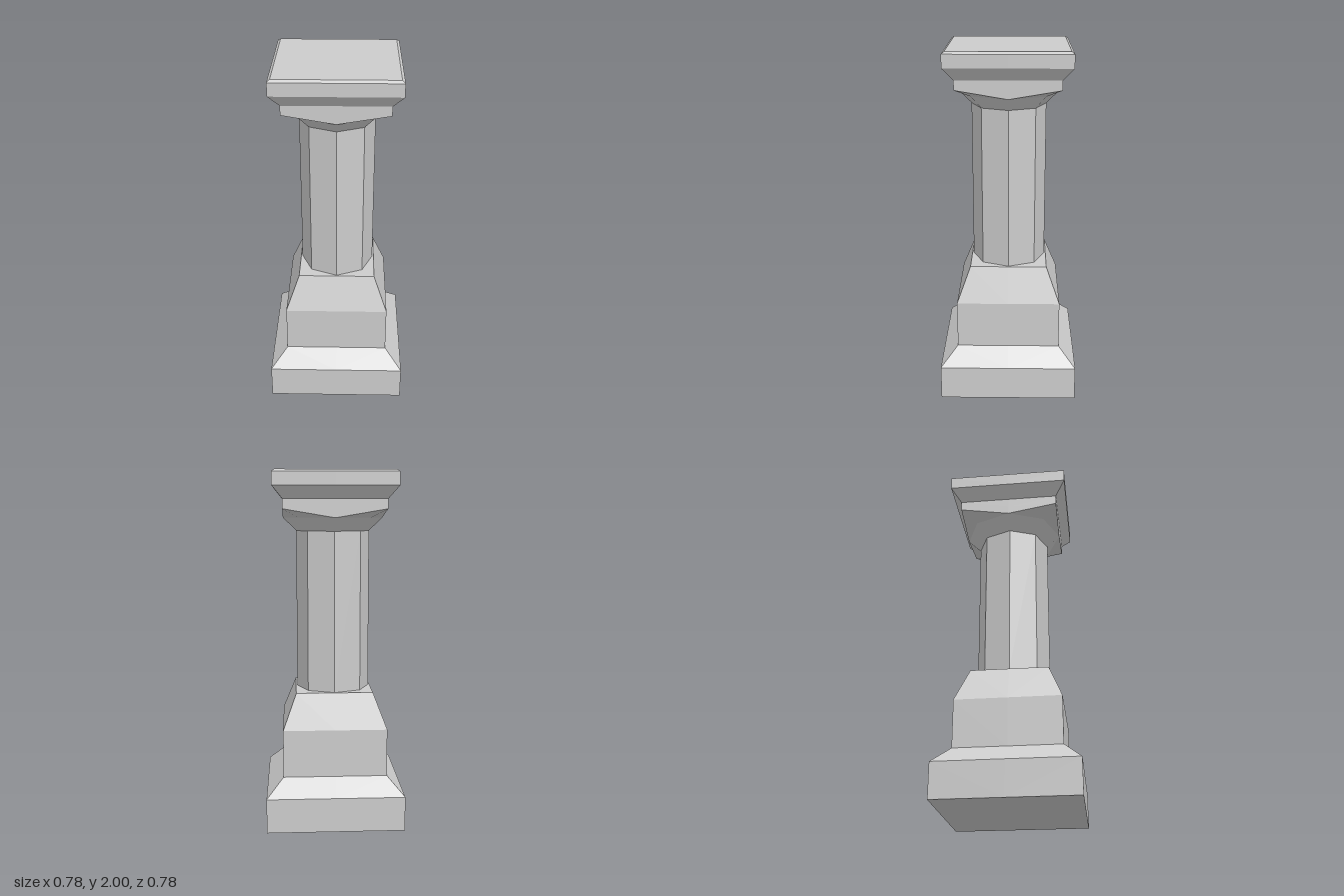
import * as THREE from 'three';

// Eight-point rings share one layout (even = on an axis, odd = diagonal),
// so square and octagonal sections can be lofted into each other.
const ring = (y, r, square) => Array.from({ length: 8 }, (_, k) => {
  const a = k * Math.PI / 4;
  const d = square && k % 2 ? r * Math.SQRT2 : r;
  return [Math.sin(a) * d, y, Math.cos(a) * d];
});
const squareRing = (y, half) => ring(y, half, true);
const octagonRing = (y, radius) => ring(y, radius, false);

// Faceted loft through the rings, with optional end caps
function loft(name, rings, capBottom, capTop) {
  const pos = [];
  const tri = (...pts) => pts.forEach(p => pos.push(...p));
  for (let i = 0; i < rings.length - 1; i++) {
    const L = rings[i], U = rings[i + 1];
    for (let k = 0; k < 8; k++) {
      const n = (k + 1) % 8;
      // each quad is split from its lower axis point to its upper corner
      if (k % 2 === 0) { tri(L[k], L[n], U[n]); tri(L[k], U[n], U[k]); }
      else { tri(L[k], L[n], U[k]); tri(L[n], U[n], U[k]); }
    }
  }
  const first = rings[0], last = rings[rings.length - 1];
  for (let k = 0; k < 8; k++) {
    const n = (k + 1) % 8;
    if (capBottom) tri([0, first[0][1], 0], first[n], first[k]);
    if (capTop) tri([0, last[0][1], 0], last[k], last[n]);
  }
  const geo = new THREE.BufferGeometry();
  geo.setAttribute('position', new THREE.Float32BufferAttribute(pos, 3));
  geo.computeVertexNormals();
  const mesh = new THREE.Mesh(geo, new THREE.MeshStandardMaterial({ color: 0xcccccc, flatShading: true }));
  mesh.name = name;
  return mesh;
}

export function createModel() {
  const pillar = new THREE.Group();
  pillar.name = 'stonePillar';

  // Square plinth with a sloped ledge
  pillar.add(loft('plinth', [
    squareRing(0, 0.389), squareRing(0.196, 0.389), squareRing(0.293, 0.294),
  ], true, false));

  // Square pedestal tapering up to the shaft
  pillar.add(loft('pedestal', [
    squareRing(0.293, 0.294), squareRing(0.563, 0.294), squareRing(0.762, 0.218),
  ], false, true));

  // Octagonal shaft, flaring at the top
  pillar.add(loft('shaft', [
    octagonRing(0.762, 0.21), octagonRing(1.671, 0.21), octagonRing(1.745, 0.286),
  ], false, false));

  // Neck turning from octagon to square
  pillar.add(loft('capitalNeck', [
    octagonRing(1.745, 0.286), squareRing(1.793, 0.286), squareRing(1.846, 0.286),
  ], false, false));

  // Square top slab with a bevelled rim
  pillar.add(loft('capitalSlab', [
    squareRing(1.846, 0.286), squareRing(1.916, 0.342),
    squareRing(1.988, 0.342), squareRing(2, 0.326),
  ], false, true));

  return pillar;
}
